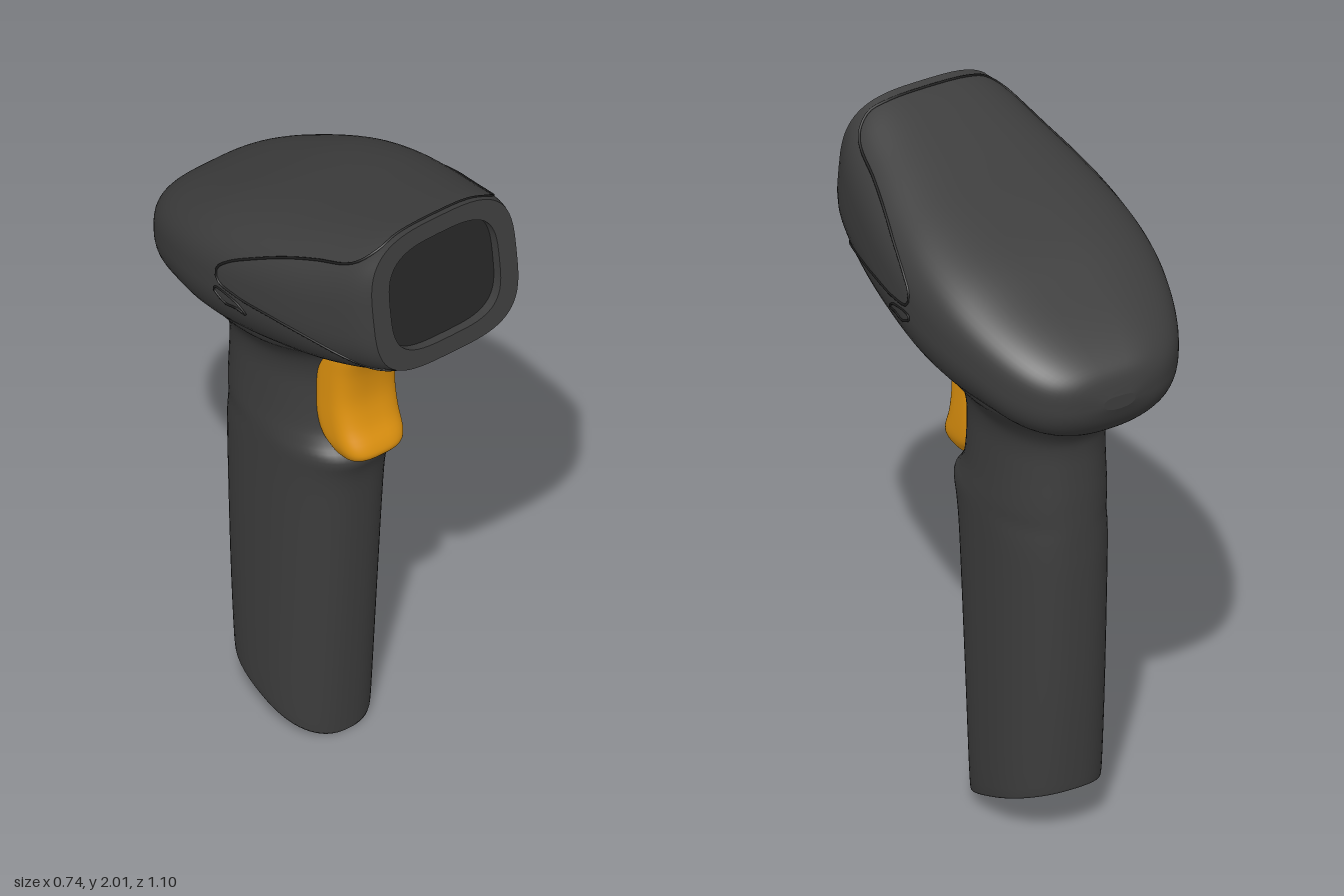
import * as THREE from 'three';

const SEG = 64;
const mat = (name, color) => Object.assign(new THREE.MeshStandardMaterial({ color }), { name });
const spow = (v, p) => Math.sign(v) * Math.pow(Math.abs(v), p);
const lerp = THREE.MathUtils.lerp;

// smooth interpolation through a table of rows at row position u
function sample(rows, u) {
  const i = Math.min(Math.floor(u), rows.length - 2), t = u - i;
  const row = k => rows[THREE.MathUtils.clamp(k, 0, rows.length - 1)];
  const [a, b, c, d] = [row(i - 1), row(i), row(i + 1), row(i + 2)];
  return b.map((v, k) => v + 0.5 * t * (c[k] - a[k]
    + t * (2 * a[k] - 5 * v + 4 * c[k] - d[k] + t * (3 * (v - c[k]) + d[k] - a[k]))));
}

const ring = point => Array.from({ length: SEG }, (_, j) => point(j / SEG * Math.PI * 2));

function ringsOf(rows, steps, point) {
  const n = (rows.length - 1) * steps;
  return Array.from({ length: n + 1 }, (_, i) => {
    const r = sample(rows, i / steps);
    return ring(a => point(r, a));
  });
}

// skin over closed rings, with optional flat end caps
function loft(rings, startCap = false, endCap = false) {
  const pos = [], idx = [];
  const push = p => pos.push(p.x, p.y, p.z);
  rings.forEach(r => r.forEach(push));
  for (let i = 0; i < rings.length - 1; i++) {
    for (let j = 0; j < SEG; j++) {
      const k = (j + 1) % SEG, a = i * SEG, b = a + SEG;
      idx.push(a + j, b + j, a + k, b + j, b + k, a + k);
    }
  }
  const cap = (r, flip) => {
    const c = r.reduce((s, p) => s.add(p), new THREE.Vector3()).divideScalar(SEG);
    const base = pos.length / 3;
    push(c);
    r.forEach(push);
    for (let j = 0; j < SEG; j++) {
      const p = base + 1 + j, q = base + 1 + (j + 1) % SEG;
      idx.push(base, flip ? q : p, flip ? p : q);
    }
  };
  if (startCap) cap(rings[0], false);
  if (endCap) cap(rings[rings.length - 1], true);
  const g = new THREE.BufferGeometry();
  g.setAttribute('position', new THREE.Float32BufferAttribute(pos, 3));
  g.setIndex(idx);
  g.computeVertexNormals();
  return g;
}

// head sections, front to back: zTop, yTop, zBottom, yBottom, half width, widest y, lower squareness
const HEAD = [
  [0.49, 2.0, 0.55, 1.565, 0.252, 1.785, 3.5],
  [0.43, 1.982, 0.49, 1.535, 0.281, 1.75, 3.0],
  [0.32, 1.945, 0.37, 1.475, 0.312, 1.70, 2.5],
  [0.17, 1.895, 0.20, 1.405, 0.345, 1.66, 2.1],
  [0.0, 1.84, 0.0, 1.36, 0.365, 1.62, 2.0],
  [-0.15, 1.785, -0.15, 1.34, 0.357, 1.59, 2.0],
  [-0.28, 1.725, -0.28, 1.335, 0.327, 1.56, 2.0],
  [-0.40, 1.665, -0.39, 1.34, 0.28, 1.52, 2.1],
  [-0.48, 1.615, -0.47, 1.365, 0.222, 1.50, 2.2],
  [-0.525, 1.57, -0.52, 1.415, 0.15, 1.49, 2.2],
  [-0.545, 1.51, -0.545, 1.47, 0.05, 1.49, 2.2],
];
const TOP_N = 3.2;

function headPoint([zt, yt, zb, yb, w, yw, nb], a) {
  const s = Math.sin(a), n = s > 0 ? TOP_N : nb;
  const y = yw + (s > 0 ? yt - yw : yw - yb) * spow(s, 2 / n);
  return new THREE.Vector3(w * spow(Math.cos(a), 2 / n), y, lerp(zb, zt, (y - yb) / (yt - yb)));
}

// point on the head's left side seen at (z, y)
function onHead(z, y) {
  let lo = 0, hi = HEAD.length - 1, r;
  for (let i = 0; i < 30; i++) {
    const u = (lo + hi) / 2;
    r = sample(HEAD, u);
    if (lerp(r[2], r[0], (y - r[3]) / (r[1] - r[3])) > z) lo = u; else hi = u;
  }
  const [, yt, , yb, w, yw, nb] = r;
  const n = y > yw ? TOP_N : nb;
  const v = Math.min(1, Math.abs(y - yw) / (y > yw ? yt - yw : yw - yb));
  return new THREE.Vector3(w * Math.pow(1 - Math.pow(v, n), 1 / n), y, z);
}

// handle sections, bottom to top: yFront, zFront, yBack, zBack, half width, squareness
const HANDLE = [
  [0.0, 0.10, 0.15, -0.303, 0.148, 2.4],
  [0.03, 0.102, 0.175, -0.307, 0.157, 2.4],
  [0.4, 0.127, 0.45, -0.325, 0.162, 2.4],
  [0.8, 0.155, 0.8, -0.337, 0.167, 2.4],
  [0.92, 0.17, 0.92, -0.338, 0.169, 2.4],
  [0.985, 0.19, 0.985, -0.338, 0.17, 2.3],
  [1.03, 0.155, 1.03, -0.337, 0.169, 2.3],
  [1.08, 0.13, 1.08, -0.336, 0.166, 2.3],
  [1.17, 0.122, 1.15, -0.333, 0.163, 2.3],
  [1.25, 0.125, 1.22, -0.332, 0.163, 2.3],
  [1.32, 0.145, 1.27, -0.342, 0.175, 2.3],
  [1.37, 0.18, 1.32, -0.38, 0.205, 2.2],
  [1.425, 0.25, 1.365, -0.43, 0.245, 2.1],
  [1.50, 0.30, 1.43, -0.45, 0.27, 2.0],
];

// trigger sections, bottom to top, same columns
const TRIGGER = [
  [1.012, 0.21, 1.008, 0.15, 0.05, 2.5],
  [1.02, 0.235, 1.012, 0.12, 0.078, 2.8],
  [1.04, 0.253, 1.035, 0.10, 0.094, 3],
  [1.07, 0.248, 1.07, 0.07, 0.104, 3.2],
  [1.13, 0.222, 1.13, 0.05, 0.107, 3.2],
  [1.21, 0.207, 1.21, 0.05, 0.107, 3.2],
  [1.30, 0.215, 1.30, 0.05, 0.107, 3.2],
  [1.37, 0.238, 1.37, 0.06, 0.105, 3.2],
  [1.41, 0.262, 1.41, 0.09, 0.09, 3],
  [1.428, 0.268, 1.425, 0.12, 0.06, 2.6],
];

function gripPoint([yf, zf, yb, zb, w, n], a) {
  const s = spow(Math.sin(a), 2 / n), t = (s + 1) / 2;
  return new THREE.Vector3(w * spow(Math.cos(a), 2 / n), lerp(yb, yf, t), lerp(zb, zf, t));
}

export function createModel() {
  const model = new THREE.Group();
  model.name = 'handheldScanner';
  const body = mat('charcoal plastic', 0x3d3d3d);
  const glass = mat('dark window', 0x262626);
  const orange = mat('orange trigger', 0xe0930f);
  const groove = mat('seam groove', 0x1c1c1c);
  const add = (name, geometry, material) => {
    const m = new THREE.Mesh(geometry, material);
    m.name = name;
    model.add(m);
  };

  add('headHousing', loft(ringsOf(HEAD, 5, headPoint), false, true), body);
  add('handle', loft(ringsOf(HANDLE, 4, gripPoint), true, true), body);
  add('trigger', loft(ringsOf(TRIGGER, 4, gripPoint), true, true), orange);

  // front bezel with a recessed scan window
  const centre = new THREE.Vector3(0, 1.783, 0.52);
  const outer = ring(a => headPoint(HEAD[0], a));
  const inner = outer.map(p => p.clone().sub(centre).multiplyScalar(0.76).add(centre));
  const deep = inner.map(p => p.clone().add(new THREE.Vector3(0, -0.004, -0.03)));
  add('frontBezel', loft([inner, outer]), body);
  add('windowRecess', loft([deep, inner]), body);
  add('scanWindow', loft([deep], true), glass);

  // seam around the nose: down each side, across the top and bottom
  const mirror = p => new THREE.Vector3(-p.x, p.y, p.z);
  const seam = (name, pts) => {
    const curve = new THREE.CatmullRomCurve3(pts, true, 'centripetal');
    add(name, new THREE.TubeGeometry(curve, 160, 0.004, 6, true), groove);
  };
  const across = (u, deg) => headPoint(sample(HEAD, u), deg * Math.PI / 180);
  const side = [
    across(0.55, 72), across(0.55, 55),
    ...[[0.44, 1.93], [0.4, 1.905], [0.3, 1.87], [0.2, 1.83], [0.1, 1.78], [0.01, 1.725], [-0.028, 1.685],
      [-0.022, 1.65], [0.05, 1.637], [0.2, 1.635], [0.32, 1.625], [0.42, 1.605], [0.48, 1.575]]
      .map(([z, y]) => onHead(z, y)),
    across(0.75, -58), across(0.75, -74),
  ];
  seam('noseSeam', [across(0.55, 90), ...side, across(0.75, -90), ...side.map(mirror).reverse()]);

  // small latch outline on both sides
  const latch = [[0.085, 1.588], [0.06, 1.612], [-0.03, 1.621], [-0.034, 1.61], [0.01, 1.586], [0.05, 1.592]]
    .map(([z, y]) => onHead(z, y));
  seam('leftLatch', latch);
  seam('rightLatch', latch.map(mirror));

  return model;
}
